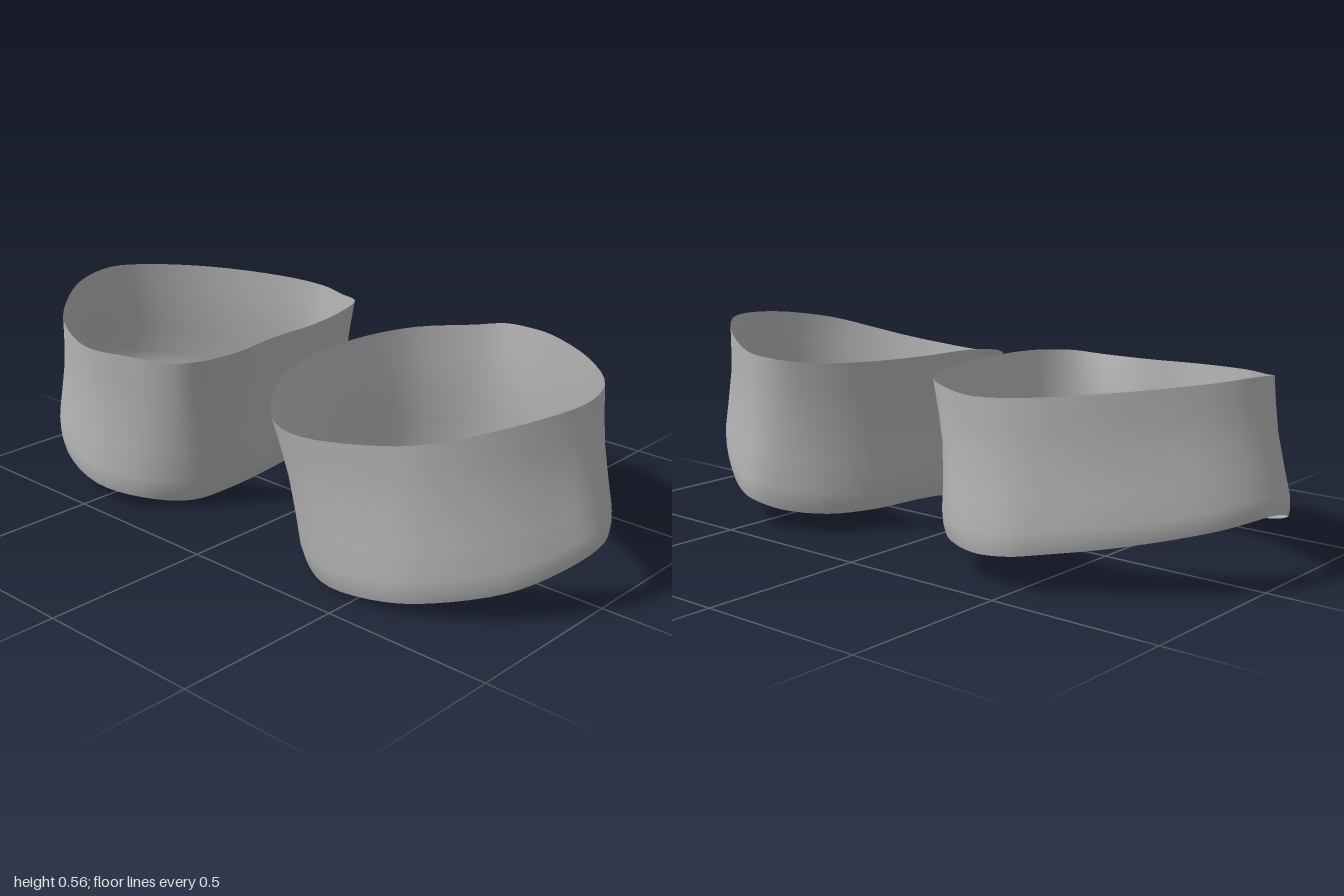
import * as THREE from 'three';

// Rim control points (x, y, z), running from the inner side round the back, outer side and front.
const leftTop = [
  .08, .51, .1, .085, .515, -.1, .14, .515, -.28, .25, .515, -.41, .33, .525, -.46, .42, .53, -.46,
  .52, .54, -.42, .75, .56, -.26, .9, .565, -.1, .935, .56, .03, .91, .55, .14, .83, .525, .27,
  .72, .49, .36, .6, .465, .41, .36, .44, .46, .25, .445, .44, .16, .46, .36, .1, .49, .25];
const leftBottom = [
  .135, .065, 0, .14, .07, -.1, .17, .065, -.22, .25, .06, -.34, .36, .07, -.42, .44, .09, -.45,
  .52, .1, -.43, .75, .13, -.28, .93, .17, -.12, .995, .18, .03, .95, .135, .14, .87, .09, .24,
  .72, .05, .35, .6, .03, .4, .42, .012, .41, .27, 0, .33, .2, .015, .23, .16, .045, .1];
const rightTop = [
  -.09, .52, .1, -.092, .52, -.08, -.12, .52, -.23, -.18, .515, -.36, -.28, .505, -.41, -.4, .505, -.445,
  -.55, .515, -.41, -.75, .535, -.28, -.89, .55, -.12, -.94, .555, 0, -.92, .54, .14, -.83, .515, .27,
  -.7, .5, .38, -.5, .485, .455, -.35, .485, .43, -.2, .49, .395, -.13, .5, .35, -.09, .51, .25];
const rightBottom = [
  -.155, .09, -.08, -.165, .09, -.2, -.2, .09, -.33, -.3, .09, -.41, -.4, .09, -.44, -.5, .1, -.435,
  -.57, .11, -.4, -.75, .14, -.29, -.93, .18, -.13, -1, .2, .03, -.97, .165, .16, -.87, .115, .28,
  -.72, .075, .385, -.5, .05, .445, -.35, .035, .4, -.25, .02, .29, -.2, .04, .18, -.165, .07, .05];

function rim(values, count) {
  const points = [];
  for (let i = 0; i < values.length; i += 3) points.push(new THREE.Vector3(values[i], values[i + 1], values[i + 2]));
  const curve = new THREE.CatmullRomCurve3(points, true, 'centripetal');
  return Array.from({ length: count }, (_, i) => curve.getPoint(i / count));
}

// Open band lofted between its two rims, with the lower edge rolled slightly inward.
function bandGeometry(topValues, bottomValues, centreX, flip) {
  const count = 72;
  const top = rim(topValues, count), bottom = rim(bottomValues, count);
  const rows = [[0, 0], [.06, .007], [.15, .01], [.35, .003], [.6, -.004], [.8, -.003], [1, 0]];
  const positions = [], indices = [];
  for (const [t, bulge] of rows) {
    for (let i = 0; i < count; i++) {
      const p = bottom[i].clone().lerp(top[i], t);
      const out = new THREE.Vector3(p.x - centreX, 0, p.z).normalize();
      p.addScaledVector(out, bulge);
      p.x = THREE.MathUtils.clamp(p.x, -1, 1);
      positions.push(p.x, p.y, p.z);
    }
  }
  for (let r = 0; r < rows.length - 1; r++) {
    for (let i = 0; i < count; i++) {
      const a = r * count + i, b = r * count + (i + 1) % count;
      const c = b + count, d = a + count;
      if (flip) indices.push(a, c, b, a, d, c);
      else indices.push(a, b, c, a, c, d);
    }
  }
  const geometry = new THREE.BufferGeometry();
  geometry.setAttribute('position', new THREE.Float32BufferAttribute(positions, 3));
  geometry.setIndex(indices);
  geometry.computeVertexNormals();
  return geometry;
}

export function createModel() {
  const group = new THREE.Group();
  group.name = 'pairOfBands';
  const grey = new THREE.MeshStandardMaterial({ color: 0xb4b4b4, side: THREE.DoubleSide });
  grey.name = 'grey cloth';

  // Ring order runs opposite ways on the two sides, so one is flipped to face outward.
  const left = new THREE.Mesh(bandGeometry(leftTop, leftBottom, .52, true), grey);
  left.name = 'leftBand';
  const right = new THREE.Mesh(bandGeometry(rightTop, rightBottom, -.54, false), grey);
  right.name = 'rightBand';
  group.add(left, right);
  return group;
}
